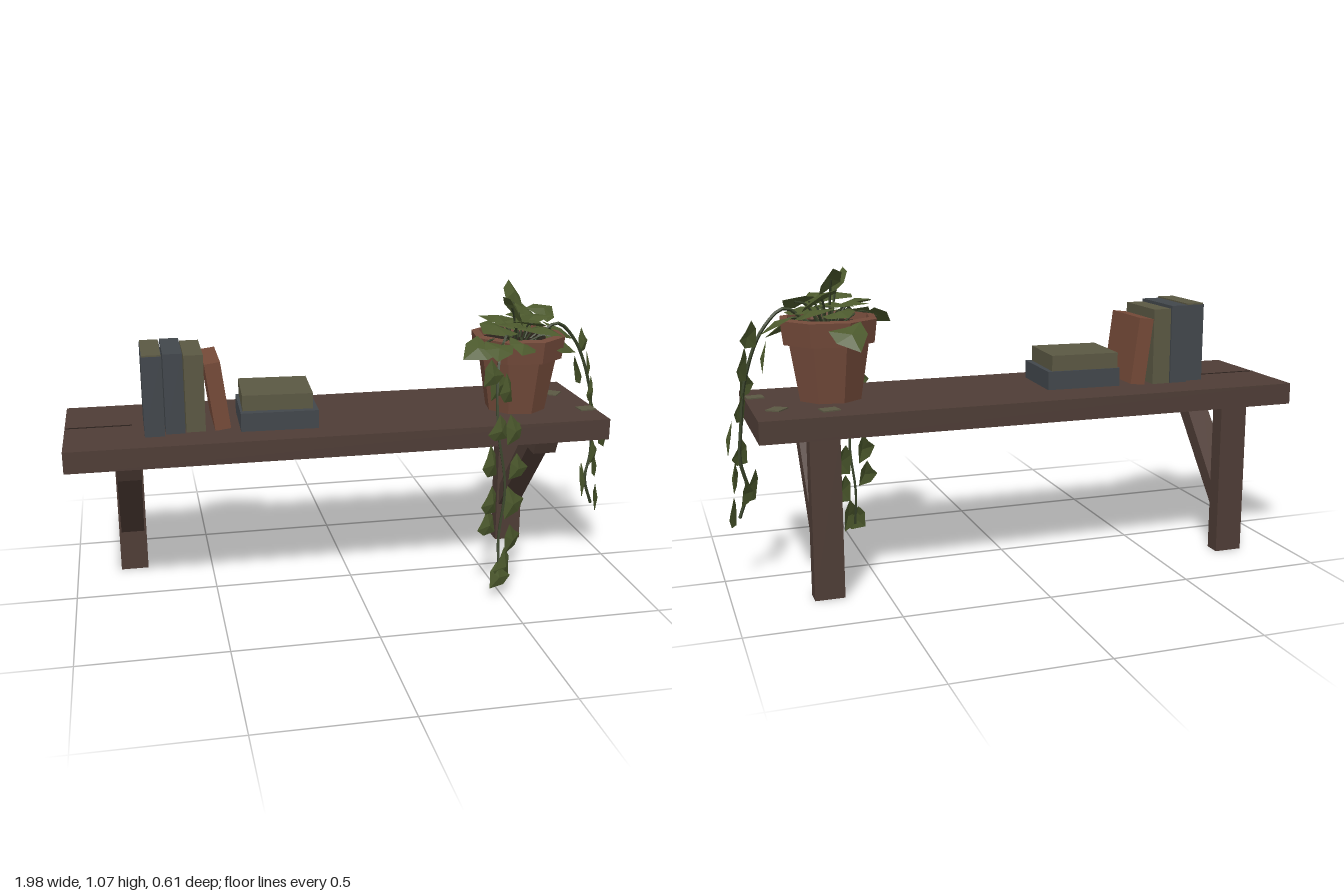
import * as THREE from 'three';

const mat = (name, color, side = THREE.FrontSide) => {
  const m = new THREE.MeshStandardMaterial({ color, flatShading: true, side });
  m.name = name;
  return m;
};
const V = (x, y, z) => new THREE.Vector3(x, y, z);

export function createModel() {
  const root = new THREE.Group();
  root.name = 'plantShelf';
  const wood = mat('dark wood', 0x4f3d36);
  const crackMat = mat('wood crack', 0x2c211d);
  const clay = mat('terracotta', 0x734a3a, THREE.DoubleSide);
  const soil = mat('soil', 0x2b221c);
  const blue = mat('slate cover', 0x42474c);
  const olive = mat('olive cover', 0x5b5843);
  const rust = mat('rust cover', 0x754a38);
  const green = mat('leaf green', 0x4c592d, THREE.DoubleSide);
  const stemMat = mat('stem green', 0x39432a);

  const add = (geo, material, name, parent = root) => {
    const m = new THREE.Mesh(geo, material);
    m.name = name;
    parent.add(m);
    return m;
  };
  // box given by its min and max corners
  const box = (a, b, material, name, parent) => {
    const m = add(new THREE.BoxGeometry(b[0] - a[0], b[1] - a[1], b[2] - a[2]), material, name, parent);
    m.position.set((a[0] + b[0]) / 2, (a[1] + b[1]) / 2, (a[2] + b[2]) / 2);
    return m;
  };

  // Plank with a split at one end
  box([-1, 0.545, -0.31], [0.9, 0.62, 0.21], wood, 'plank');
  box([-1, 0.618, -0.053], [-0.77, 0.622, -0.047], crackMat, 'plankCrack');

  // Two brackets: wall post and diagonal strut (profile in z, y)
  const strutShape = new THREE.Shape([
    [0.16, 0.546], [0.13, 0.48], [0.07, 0.485], [-0.221, 0.15], [-0.221, 0.235], [0.04, 0.546],
  ].map(p => new THREE.Vector2(...p)));
  for (const x of [-0.79, 0.69]) {
    const bracket = new THREE.Group();
    bracket.name = 'bracket';
    bracket.position.x = x;
    root.add(bracket);
    box([-0.05, 0, -0.28], [0.05, 0.546, -0.22], wood, 'post', bracket);
    const geo = new THREE.ExtrudeGeometry(strutShape, { depth: 0.084, bevelEnabled: false });
    geo.rotateY(-Math.PI / 2).translate(0.042, 0, 0);
    add(geo, wood, 'strut', bracket);
  }

  // Standing books
  box([-0.73, 0.62, -0.14], [-0.662, 0.898, 0.10], blue, 'standingBook');
  box([-0.728, 0.898, -0.138], [-0.664, 0.903, 0.098], olive, 'bookTop');
  box([-0.658, 0.62, -0.16], [-0.592, 0.9, 0.08], blue, 'standingBook');
  box([-0.588, 0.62, -0.16], [-0.522, 0.89, 0.07], olive, 'standingBook');
  const leaning = box([-0.505, 0.622, -0.16], [-0.45, 0.86, 0.07], rust, 'leaningBook');
  leaning.rotation.z = 0.13;

  // Stacked books
  box([-0.40, 0.62, -0.145], [-0.13, 0.685, 0.105], blue, 'lowerBook').rotation.y = -0.03;
  box([-0.39, 0.687, -0.15], [-0.145, 0.742, 0.085], olive, 'upperBook').rotation.y = -0.05;

  // Eight-sided pot with a thick rim
  const cx = 0.62, cz = -0.015;
  const profile = [[0, 0.62], [0.11, 0.62], [0.143, 0.82], [0.162, 0.815], [0.172, 0.895], [0.145, 0.9], [0.138, 0.86]]
    .map(p => new THREE.Vector2(...p));
  const pot = add(new THREE.LatheGeometry(profile, 8, 0.25), clay, 'pot');
  pot.position.set(cx, 0, cz);
  const earth = add(new THREE.CylinderGeometry(0.139, 0.139, 0.02, 8), soil, 'soil');
  earth.rotation.y = 0.25;
  earth.position.set(cx, 0.862, cz);

  // Folded leaf, base at the origin, tip along +y, facing +z
  const outline = [[0, 0], [0.5, -0.05], [0.48, 0.45], [0, 1], [-0.48, 0.45], [-0.5, -0.05]];
  const leafVerts = [];
  outline.forEach((p, i) => {
    const q = outline[(i + 1) % 6];
    leafVerts.push(0, 0.4, 0.13, p[0], p[1], 0, q[0], q[1], 0);
  });
  const leafGeo = new THREE.BufferGeometry();
  leafGeo.setAttribute('position', new THREE.Float32BufferAttribute(leafVerts, 3));
  leafGeo.computeVertexNormals();

  const plant = new THREE.Group();
  plant.name = 'trailingPlant';
  root.add(plant);
  // Place a leaf by its middle, tip direction and facing
  const leaf = (pos, tip, facing, size) => {
    const y = tip.clone().normalize();
    const x = new THREE.Vector3().crossVectors(y, facing).normalize();
    const z = new THREE.Vector3().crossVectors(x, y);
    const m = add(leafGeo, green, 'leaf', plant);
    m.quaternion.setFromRotationMatrix(new THREE.Matrix4().makeBasis(x, y, z));
    m.scale.setScalar(size);
    m.position.copy(pos).addScaledVector(y, -size * 0.45);
  };
  const stem = (pts, r, name) => {
    const curve = new THREE.CatmullRomCurve3(pts);
    add(new THREE.TubeGeometry(curve, pts.length * 4, r, 4), stemMat, name, plant);
    return curve;
  };

  // Crown leaves spreading out of the pot
  const crown = [
    [0.62, 1.03, -0.1], [0.56, 1.01, 0.08], [0.66, 0.97, -0.12], [0.56, 0.95, 0.12],
    [0.64, 0.95, 0.09], [0.5, 0.93, 0.07], [0.48, 0.88, 0.19], [0.42, 0.87, 0.13],
    [0.7, 0.91, 0.05], [0.74, 0.96, -0.08], [0.8, 0.88, -0.06], [0.6, 0.93, -0.02],
    [0.6, 0.92, -0.16], [0.58, 0.85, -0.22], [0.7, 0.92, -0.15], [0.68, 0.95, 0.0],
    [0.55, 0.94, -0.07], [0.76, 0.86, 0.04], [0.58, 0.88, 0.15],
  ];
  crown.forEach(([x, y, z], i) => {
    const p = V(x, y, z);
    const out = V(x - cx, 0, z - cz);
    out.normalize();
    const rise = (y - 0.93) * 7;
    const tip = V(out.x + 0.3 * Math.sin(i * 2.4), rise, out.z + 0.3 * Math.cos(i * 2.4));
    const facing = V(out.x * 0.5 + 0.2, 0.9 - Math.abs(rise) * 0.3, out.z * 0.5 + 0.2);
    leaf(p, tip, facing, 0.1 + 0.015 * (i % 3));
    const base = V(cx + (x - cx) * 0.25, 0.865, cz + (z - cz) * 0.25);
    const mid = base.clone().lerp(p, 0.55);
    mid.y += 0.03;
    stem([base, mid, p], 0.004, 'leafStem');
  });

  // Two hanging vines, with leaves at the listed spots
  const vines = [
    {
      path: [[0.58, 0.87, 0.05], [0.53, 0.92, 0.12], [0.49, 0.84, 0.17], [0.48, 0.62, 0.215],
        [0.51, 0.4, 0.23], [0.49, 0.2, 0.24], [0.49, 0.07, 0.27]],
      leaves: [[0.45, 0.8, 0.21], [0.5, 0.75, 0.24], [0.5, 0.74, 0.13], [0.47, 0.62, 0.27], [0.53, 0.6, 0.23],
        [0.45, 0.49, 0.25], [0.54, 0.47, 0.25], [0.45, 0.35, 0.26], [0.54, 0.32, 0.21], [0.45, 0.26, 0.24],
        [0.53, 0.2, 0.25], [0.51, 0.1, 0.25], [0.475, 0.075, 0.285]],
      facing: [0.55, 0.15, 0.8],
    },
    {
      path: [[0.68, 0.87, 0], [0.76, 0.93, 0], [0.84, 0.86, -0.01], [0.9, 0.7, 0], [0.92, 0.55, 0.0],
        [0.93, 0.42, -0.01], [0.91, 0.32, 0], [0.94, 0.22, 0]],
      leaves: [[0.88, 0.84, -0.04], [0.83, 0.75, 0.05], [0.91, 0.74, -0.05], [0.9, 0.67, 0.02], [0.92, 0.59, -0.01],
        [0.96, 0.49, 0.0], [0.92, 0.43, 0.03], [0.95, 0.36, -0.02], [0.89, 0.31, 0.02], [0.92, 0.31, -0.05],
        [0.96, 0.23, -0.01]],
      facing: [0.85, 0.2, 0.4],
    },
  ];
  for (const { path, leaves, facing } of vines) {
    stem(path.map(p => V(...p)), 0.006, 'vine');
    leaves.forEach((p, i) => {
      const s = i % 2 ? 1 : -1;
      const f = V(facing[0], facing[1] + 0.15 * Math.sin(i * 1.7), facing[2] + 0.25 * Math.cos(i * 2.1));
      leaf(V(...p), V(f.z * s * 0.7, -0.75, -f.x * s * 0.7), f, 0.085 + 0.01 * (i % 3));
    });
  }

  // Fallen dry leaves lying on the plank
  for (const [x, z, turn] of [[0.66, -0.21, 0.2], [0.82, -0.15, 0.9], [0.865, 0.07, 0.1]]) {
    const m = add(new THREE.BoxGeometry(0.06, 0.004, 0.05), olive, 'fallenLeaf');
    m.position.set(x, 0.622, z);
    m.rotation.y = turn;
  }
  return root;
}
